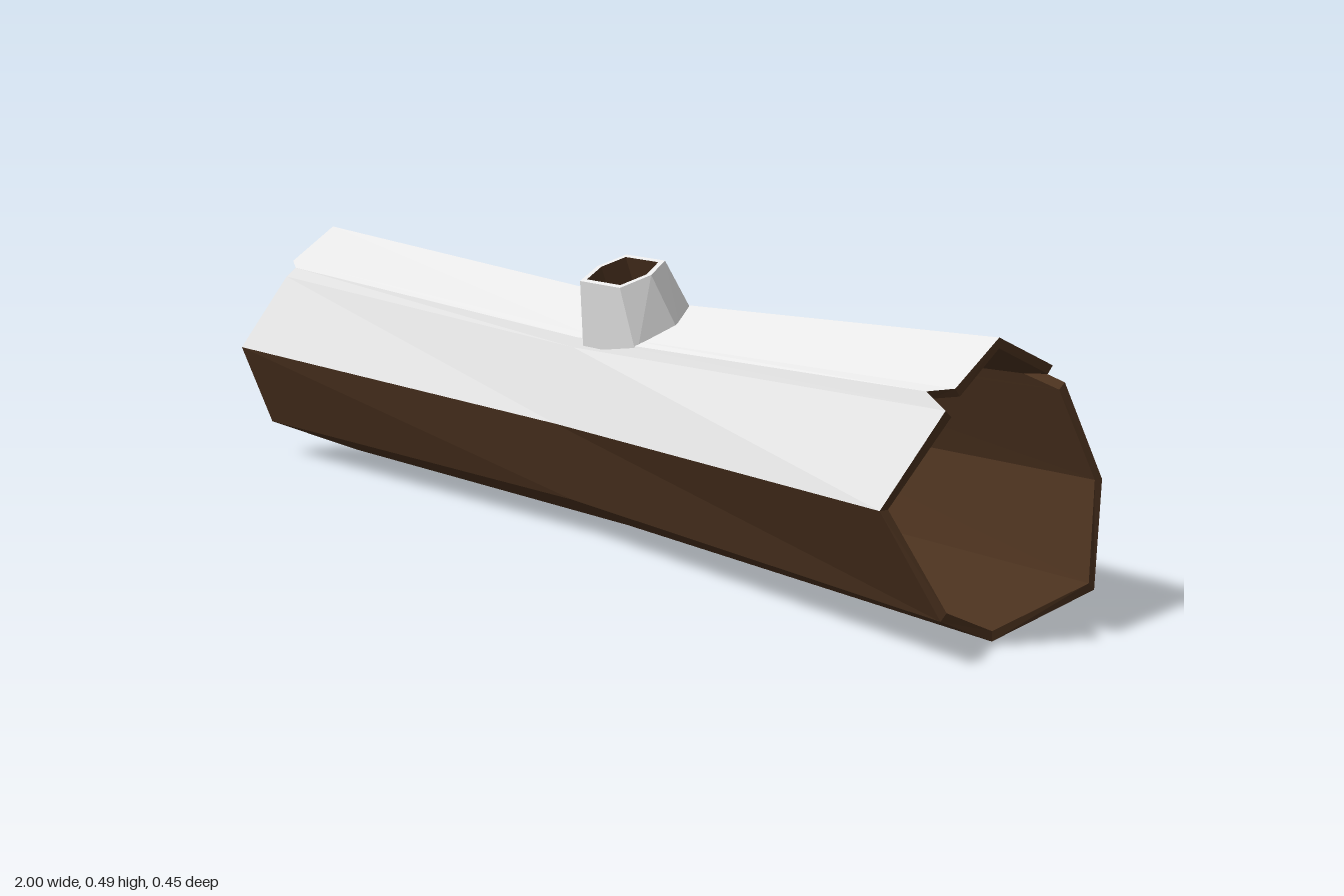
import * as THREE from 'three';

const snow = new THREE.MeshStandardMaterial({ color: 0xeeeeee });
snow.name = 'snow';
const bark = new THREE.MeshStandardMaterial({ color: 0x4a311e });
bark.name = 'bark';
snow.flatShading = bark.flatShading = true;

// Joins successive cross-sections with quads, from point index a to b.
function loft(name, material, rows, a, b) {
  const pos = [];
  for (let i = 0; i < rows.length - 1; i++) {
    const n = rows[i].length;
    for (let k = a; k < b; k++) {
      const p = rows[i][k % n], q = rows[i][(k + 1) % n];
      const r = rows[i + 1][(k + 1) % n], s = rows[i + 1][k % n];
      for (const v of [p, q, r, p, r, s]) pos.push(...v);
    }
  }
  const g = new THREE.BufferGeometry();
  g.setAttribute('position', new THREE.Float32BufferAttribute(pos, 3));
  g.computeVertexNormals();
  const mesh = new THREE.Mesh(g, material);
  mesh.name = name;
  return mesh;
}

// Octagon corners [y, z], from the top round by the front.
const endRing = [[0.453, 0], [0.39, 0.15], [0.225, 0.225], [0.067, 0.16],
  [0, 0], [0.062, -0.17], [0.218, -0.222], [0.388, -0.16]];
const midRing = [[0.405, -0.037], [0.35, 0.09], [0.203, 0.135], [0.065, 0.1],
  [0.004, -0.02], [0.065, -0.165], [0.203, -0.22], [0.35, -0.17]];

// Rim points: position round the octagon, then left-hand and right-hand x of the broken ends.
const rim = [[0, -1, 0.94], [0.88, -0.93, 0.99], [1, -0.89, 0.95], [1.12, -0.91, 1],
  [2, -0.98, 0.94], [3, -0.98, 1], [4, -0.92, 0.94], [5, -0.98, 0.98], [6, -0.89, 0.94],
  [6.88, -0.88, 0.91], [7, -0.86, 0.84], [7.12, -0.89, 0.91]];

const mix = (a, b, t) => a.map((v, i) => v + (b[i] - v) * t);

// Cross-section whose points sit at the given x, scaled about its centre.
function section(column, scale) {
  return rim.map((r) => {
    const x = column ? r[column] : 0;
    const t = Math.min(1, Math.abs(x) / 0.92);
    const i = Math.floor(r[0]), j = (i + 1) % 8;
    const [y, z] = mix(mix(midRing[i], midRing[j], r[0] - i),
      mix(endRing[i], endRing[j], r[0] - i), t);
    const cy = 0.205 + 0.02 * t, cz = -0.035 * (1 - t);
    return [x, cy + (y - cy) * scale, cz + (z - cz) * scale];
  });
}

function createModel() {
  const model = new THREE.Group();
  model.name = 'hollowLog';

  // Hollow trunk: snow on the upper four panels, bark below and inside.
  const outer = [1, 0, 2].map((c) => section(c, 1));
  const inner = [1, 0, 2].map((c) => section(c, 0.93));
  model.add(
    loft('snowCoverFront', snow, outer, 0, 4),
    loft('snowCoverBack', snow, outer, 8, 12),
    loft('barkUnderside', bark, outer, 4, 8),
    loft('hollowInside', bark, [...inner].reverse(), 0, 12),
    loft('leftRim', bark, [outer[2], inner[2]], 0, 12),
    loft('rightRim', bark, [inner[0], outer[0]], 0, 12),
  );

  // Broken branch stub: a tapering hexagonal tube leaning forwards.
  const base = [[0.035, 0.34, 0.1], [0.19, 0.34, 0.1], [0.21, 0.365, 0.02],
    [0.165, 0.395, -0.04], [0.06, 0.395, -0.04], [0.01, 0.365, 0.02]];
  const top = [[0.055, 0.455, 0.12], [0.17, 0.455, 0.12], [0.19, 0.475, 0.07],
    [0.168, 0.494, 0.025], [0.057, 0.494, 0.025], [0.035, 0.475, 0.07]];
  const lip = top.map((p) => mix(p, [0.1125, 0.475, 0.072], 0.16));
  const floor = lip.map(([x, y, z]) => [x, y - 0.055, z - 0.02]);
  const centre = floor.map(() => [0.1125, 0.42, 0.052]);
  const stub = new THREE.Group();
  stub.name = 'branchStub';
  stub.add(
    loft('stubSnow', snow, [base, top, lip], 0, 6),
    loft('stubHollow', bark, [lip, floor, centre], 0, 6),
  );
  model.add(stub);
  return model;
}

export { createModel };
